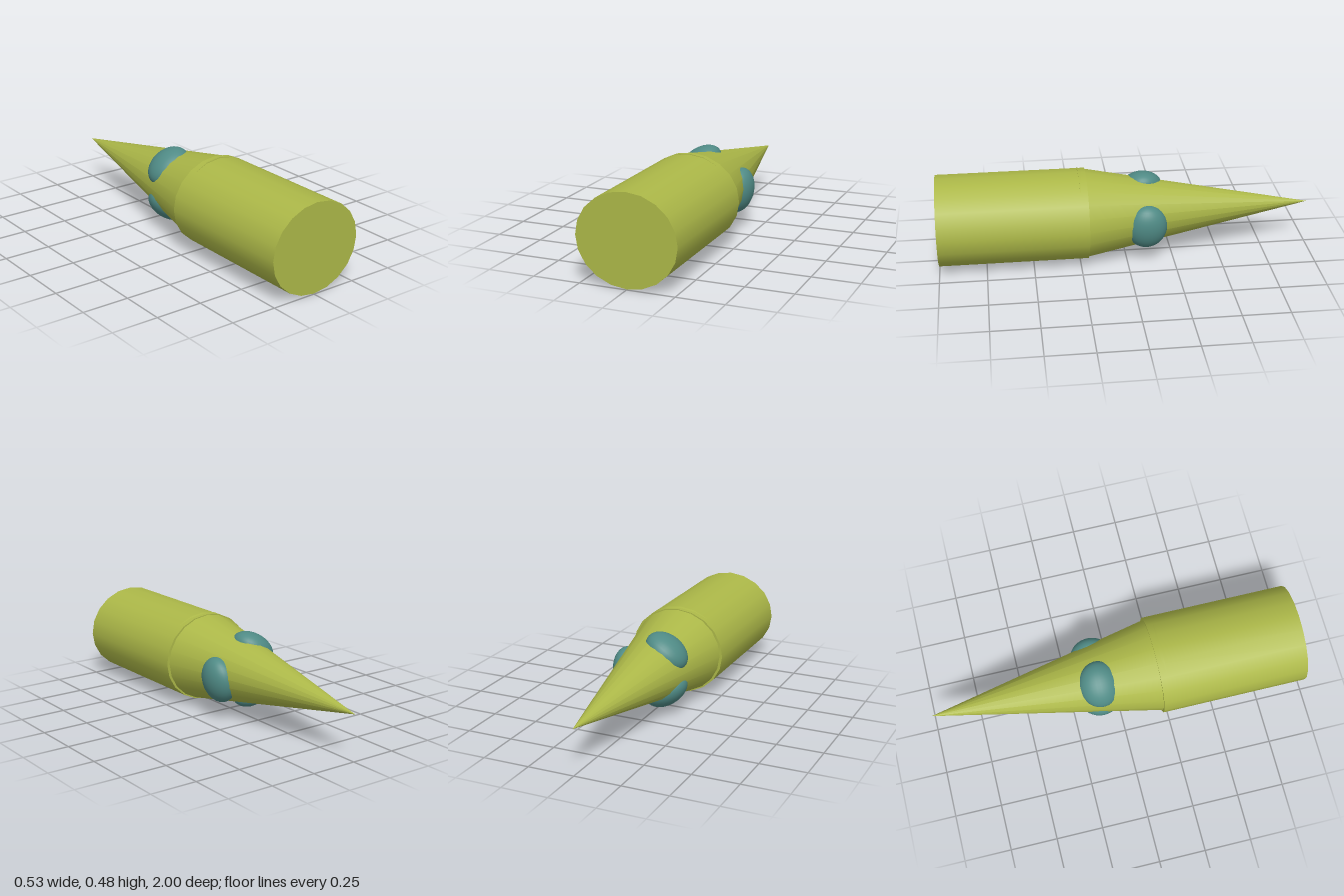
import * as THREE from 'three';

const AXIS_Y = 0.245;

export function createModel() {
  const model = new THREE.Group();
  const shellMat = new THREE.MeshStandardMaterial({ color: 0xacb848 });
  const domeMat = new THREE.MeshStandardMaterial({ color: 0x4f8a85 });

  // 20-sided elliptical section along z, tapering from zFront to zBack
  function addSection(name, rx, ry, backScale, zFront, zBack) {
    const geo = new THREE.CylinderGeometry(backScale, 1, zFront - zBack, 20);
    geo.rotateX(-Math.PI / 2);
    geo.scale(rx, ry, 1);
    const mesh = new THREE.Mesh(geo, shellMat);
    mesh.name = name;
    mesh.position.set(0, AXIS_Y, (zFront + zBack) / 2);
    model.add(mesh);
  }

  addSection('body', 0.265, 0.239, 1, 1, 0.21);
  // Cone base sits slightly inside the body and pokes out at top and bottom
  addSection('noseCone', 0.258, 0.242, 0, 0.25, -1);

  // Three flattened domes set around the cone: centre x, y and facing angle
  const domes = [
    ['sideDome', 0.145, 0.217, -10],
    ['topDome', -0.075, 0.352, 125],
    ['bottomDome', -0.075, 0.134, 234],
  ];
  const domeGeo = new THREE.SphereGeometry(1, 32, 20);
  domeGeo.scale(0.08, 0.125, 0.11);
  for (const [name, x, y, angle] of domes) {
    const dome = new THREE.Mesh(domeGeo, domeMat);
    dome.name = name;
    dome.position.set(x, y, -0.1);
    dome.rotation.z = THREE.MathUtils.degToRad(angle);
    model.add(dome);
  }

  return model;
}
